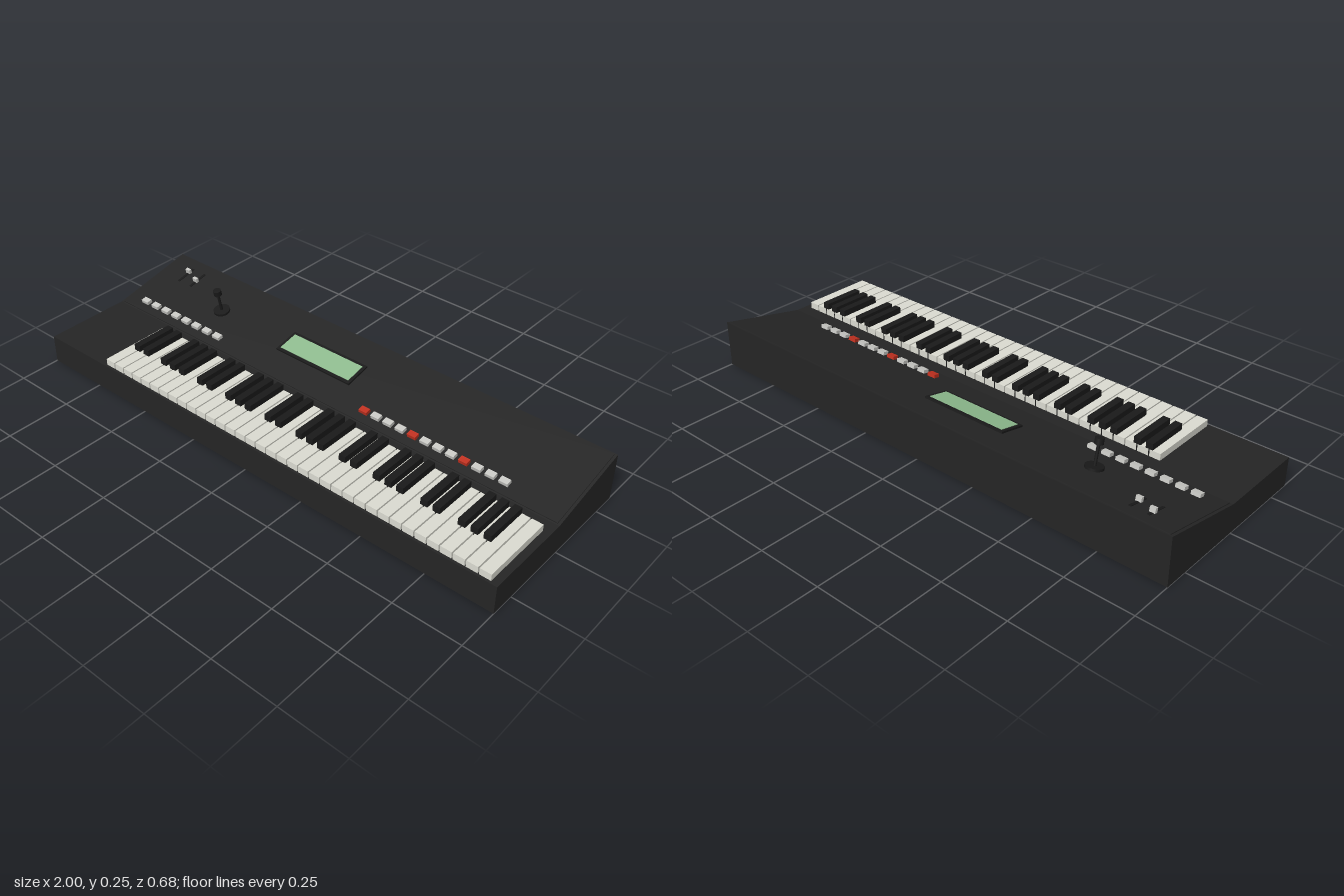
import * as THREE from 'three';

const material = (name, color) => {
  const m = new THREE.MeshStandardMaterial({ color });
  m.name = name;
  return m;
};

export function createModel() {
  const caseMat = material('case charcoal', 0x252525);
  const blackMat = material('black', 0x1a1a1a);
  const ivory = material('key ivory', 0xdcdcd2);
  const grey = material('button grey', 0xc8c8c4);
  const red = material('button red', 0xc0301f);
  const green = material('screen green', 0x8fbc8f);

  const model = new THREE.Group();
  model.name = 'keyboard';

  const add = (parent, name, geometry, mat, x, y, z) => {
    const mesh = new THREE.Mesh(geometry, mat);
    mesh.name = name;
    mesh.position.set(x, y, z);
    parent.add(mesh);
    return mesh;
  };
  const box = (parent, name, mat, w, h, d, x, y, z) =>
    add(parent, name, new THREE.BoxGeometry(w, h, d), mat, x, y, z);
  const group = (parent, name) => {
    const g = new THREE.Group();
    g.name = name;
    parent.add(g);
    return g;
  };

  // Case: side profile (drawn with -z to the right) extruded across the width
  const deck = 0.108, back = 0.18, half = 0.34;
  const profile = new THREE.Shape([
    [-half, 0], [half, 0], [half, back], [0, deck], [-half, deck],
  ].map(([x, y]) => new THREE.Vector2(x, y)));
  const caseGeo = new THREE.ExtrudeGeometry(profile, { depth: 2, bevelEnabled: false });
  caseGeo.translate(0, 0, -1).rotateY(Math.PI / 2);
  add(model, 'case', caseGeo, caseMat, 0, 0, 0);

  // Keys: five octaves plus a final C
  const keys = group(model, 'keys');
  const count = 36, left = -0.705, pitch = 1.68 / count;
  const hasSharp = [true, true, false, true, true, true, false];
  for (let i = 0; i < count; i++) {
    const x = left + (i + 0.5) * pitch;
    box(keys, 'whiteKey', ivory, pitch - 0.005, 0.025, 0.28, x, deck + 0.0125, 0.19);
    if (i < count - 1 && hasSharp[i % 7]) {
      box(keys, 'blackKey', blackMat, 0.027, 0.049, 0.168, x + pitch / 2, deck + 0.0245, 0.135);
    }
  }

  // Sloped control panel: local y is the panel normal, local -z runs up the slope
  const panel = group(model, 'controlPanel');
  panel.position.set(0, deck, 0);
  panel.rotation.x = Math.atan2(back - deck, half);
  box(panel, 'panelPlate', caseMat, 1.98, 0.003, 0.336, 0, 0.0015, -0.174);
  const top = 0.003;

  // Display
  box(panel, 'screenBezel', blackMat, 0.345, 0.007, 0.106, -0.101, top + 0.0035, -0.175);
  box(panel, 'screen', green, 0.322, 0.003, 0.082, -0.101, top + 0.0075, -0.175);

  // Button rows
  const button = (mat, x) =>
    box(panel, 'button', mat, 0.034, 0.013, 0.023, x, top + 0.0065, -0.051);
  for (let i = 0; i < 8; i++) button(grey, -0.902 + i * 0.0558);
  for (let i = 0; i < 12; i++) button(i % 4 ? grey : red, 0.2 + i * 0.0518);

  // Sliders with slots
  for (const [x, z] of [[-0.885, -0.272], [-0.82, -0.247]]) {
    box(panel, 'sliderSlot', blackMat, 0.01, 0.002, 0.085, x, top + 0.001, -0.255);
    box(panel, 'sliderCap', grey, 0.021, 0.018, 0.012, x, top + 0.01, z);
  }

  // Joystick
  const stick = group(panel, 'joystick');
  stick.position.set(-0.603, top, -0.172);
  add(stick, 'joystickBase', new THREE.CylinderGeometry(0.032, 0.032, 0.009, 24), blackMat, 0, 0.0045, 0);
  add(stick, 'joystickShaft', new THREE.CylinderGeometry(0.0055, 0.0055, 0.085, 12), blackMat, 0, 0.045, 0);
  add(stick, 'joystickKnob', new THREE.CylinderGeometry(0.0155, 0.0155, 0.021, 16), blackMat, 0, 0.093, 0);

  return model;
}
